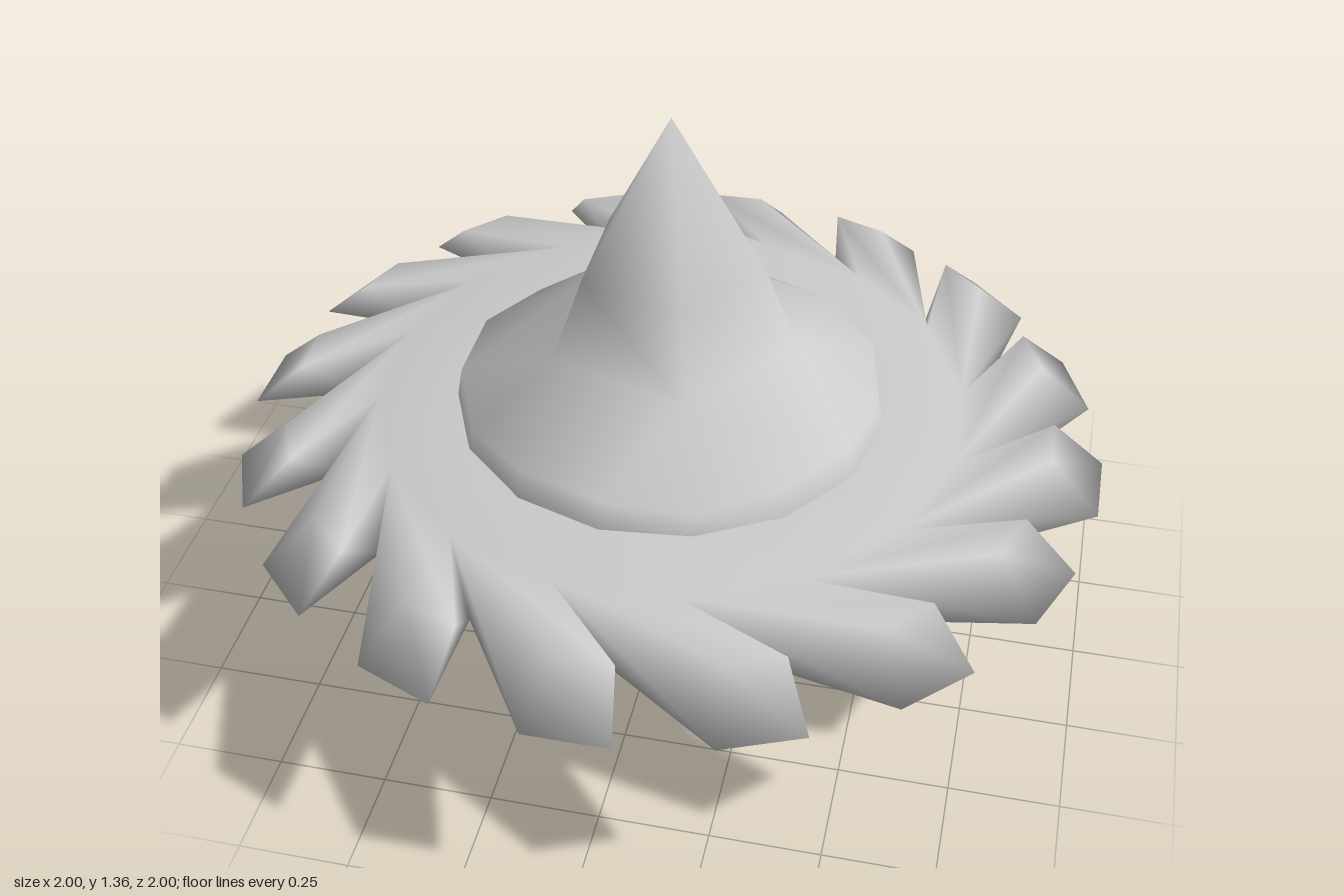
import * as THREE from 'three';
import { mergeVertices } from 'three/addons/utils/BufferGeometryUtils.js';

const material = new THREE.MeshStandardMaterial({ color: 0xcccccc });

// Skin closed rings of equal length, listed from top to bottom, running counter-clockwise from above
function loft(name, rings) {
  const n = rings[0].length;
  const index = [];
  for (let j = 0; j < rings.length - 1; j++) {
    for (let k = 0; k < n; k++) {
      const a = j * n + k, b = j * n + (k + 1) % n;
      index.push(a, a + n, b + n, a, b + n, b);
    }
  }
  let geo = new THREE.BufferGeometry();
  geo.setAttribute('position', new THREE.Float32BufferAttribute(rings.flat(2), 3));
  geo.setIndex(index);
  geo = mergeVertices(geo, 1e-4);
  geo.computeVertexNormals();
  const mesh = new THREE.Mesh(geo, material);
  mesh.name = name;
  return mesh;
}

// Body rings: 15 points, of which each three share one corner on a pentagon ring
const SIDES = 15;
function bodyRing(r, y, turn, pentagon = false, cornerY = y) {
  return Array.from({ length: SIDES }, (_, k) => {
    const step = pentagon ? Math.round(k / 3) * 3 : k;
    const a = turn + step / SIDES * Math.PI * 2;
    return [r * Math.cos(a), k % 3 === 0 ? cornerY : y, -r * Math.sin(a)];
  });
}

// Blade rings: three points [x, z] per blade, repeated round the disc
const BLADES = 16;
function bladeRing(points, y) {
  const ring = [];
  for (let i = 0; i < BLADES; i++) {
    for (const [x, z, extra = 0] of points) {
      const a = (i + extra) / BLADES * Math.PI * 2;
      const c = Math.cos(a), s = Math.sin(a);
      ring.push([x * c + z * s, y, z * c - x * s]);
    }
  }
  return ring;
}

// Ring at the blade roots: the last point snaps to the next blade's root
function rootRing([x, z], r, y) {
  const f = r / Math.hypot(x, z);
  const p = [x * f, z * f];
  return bladeRing([p, p, [...p, 1]], y);
}

export function createModel() {
  const group = new THREE.Group();

  // Slanted blades and the disc that carries them
  const topRoot = [-0.358, 0.577], lowRoot = [-0.28, 0.71];
  group.add(loft('bladedDisc', [
    rootRing(topRoot, 0.4, 0.62),
    rootRing(topRoot, Math.hypot(...topRoot), 0.62),
    bladeRing([topRoot, [-0.05, 0.885], [0.08, 0.88]], 0.62),
    bladeRing([lowRoot, [-0.09, 1], [0.1, 1]], 0.51),
    rootRing(lowRoot, Math.hypot(...lowRoot), 0.51),
    rootRing(lowRoot, 0.67, 0.39),
    rootRing(lowRoot, 0.4, 0.39),
  ]));

  // Upper spire, pentagonal above a round base
  group.add(loft('upperSpire', [
    bodyRing(0, 1.36, 0, true),
    bodyRing(0.215, 1.0, 0, true),
    bodyRing(0.29, 0.81, 0, true),
    bodyRing(0.485, 0.69, 0, false, 0.667),
    bodyRing(0.5, 0.6, 0),
  ]));

  // Lower point, turned half round
  group.add(loft('lowerPoint', [
    bodyRing(0.5, 0.41, Math.PI),
    bodyRing(0.485, 0.32, Math.PI, false, 0.345),
    bodyRing(0.165, 0.235, Math.PI, true),
    bodyRing(0, 0, Math.PI, true),
  ]));

  return group;
}
